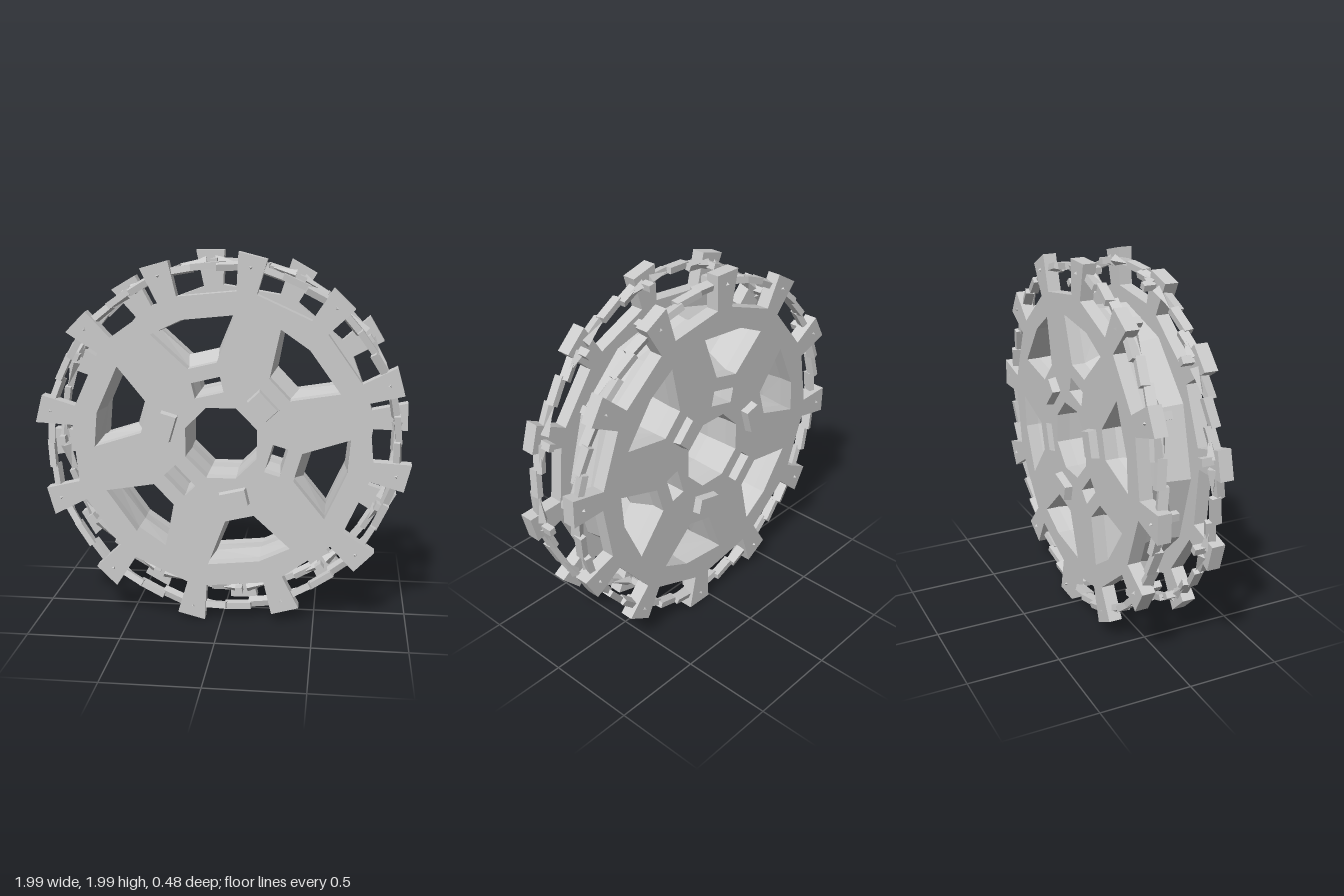
import * as THREE from 'three';

const DEG = Math.PI / 180;
const TEETH = 12;
const FACE_Z = 0.198, INNER_Z = 0.125;
const WINDOW_ANGLE = 43.5, TOOTH_ANGLE = 20.5;

const material = new THREE.MeshStandardMaterial({
  color: 0xcccccc, flatShading: true, side: THREE.DoubleSide,
});

const polar = (r, deg) => new THREE.Vector2(r * Math.cos(deg * DEG), r * Math.sin(deg * DEG));

function addMesh(parent, geometry, name) {
  const mesh = new THREE.Mesh(geometry, material);
  mesh.name = name;
  parent.add(mesh);
  return mesh;
}

// Group turned so that local +y points outward at the given angle
function spoke(parent, deg, name) {
  const g = new THREE.Group();
  g.name = name;
  g.rotation.z = (deg - 90) * DEG;
  parent.add(g);
  return g;
}

// Opening outlines; t = 0 at the plates, t = 1 at the narrow waist
function windowOutline(deg, t) {
  const inner = 0.43 + 0.05 * t, outer = 0.68 - 0.015 * t;
  const wide = 19.5 - 2 * t, narrow = 10.5 - 0.5 * t;
  return [[inner, -narrow], [outer, -wide], [outer, 4], [outer, wide], [inner, narrow]]
    .map(([r, a]) => polar(r, deg + a));
}

function slotOutline(deg, t) {
  const w = 0.078 - 0.012 * t, h = 0.042 - 0.01 * t;
  const c = new THREE.Vector2();
  return [[-h, -w], [h, -w], [h, w], [-h, w]]
    .map(([x, y]) => new THREE.Vector2(0.305 + x, y).rotateAround(c, deg * DEG));
}

function hubOutline(t) {
  return Array.from({ length: 8 }, (_, i) => polar(0.205 - 0.01 * t, 22.5 + i * 45));
}

// Every opening as a function of t
const openings = [{ name: 'hubBore', outline: hubOutline }];
for (let i = 0; i < 6; i++) {
  const deg = WINDOW_ANGLE + i * 60;
  openings.push({ name: 'windowWalls', outline: (t) => windowOutline(deg, t) });
  if (i % 2) openings.push({ name: 'slotWalls', outline: (t) => slotOutline(deg, t) });
}

// Walls of one opening, running between the plates through the waist
function tunnelGeometry(outline) {
  const rings = [[-INNER_Z, 0], [0, 1], [INNER_Z, 0]]
    .map(([z, t]) => outline(t).map((p) => new THREE.Vector3(p.x, p.y, z)));
  const points = [];
  for (let k = 0; k < 2; k++) {
    const a = rings[k], b = rings[k + 1];
    a.forEach((_, i) => {
      const j = (i + 1) % a.length;
      points.push(a[i], b[i], b[j], a[i], b[j], a[j]);
    });
  }
  const g = new THREE.BufferGeometry().setFromPoints(points);
  g.computeVertexNormals();
  return g;
}

// Toothed plate with all openings cut through
function plateGeometry(offset) {
  const outline = [];
  const c = new THREE.Vector2();
  for (let i = 0; i < TEETH; i++) {
    const angle = (offset + i * 360 / TEETH) * DEG;
    [[0.8, -0.053], [0.985, -0.076], [0.998, 0.076], [0.8, 0.053]]
      .forEach(([x, y]) => outline.push(new THREE.Vector2(x, y).rotateAround(c, angle)));
  }
  const shape = new THREE.Shape(outline);
  openings.forEach((o) => shape.holes.push(new THREE.Path(o.outline(0))));
  return new THREE.ExtrudeGeometry(shape, { depth: FACE_Z - INNER_Z, bevelEnabled: false });
}

// Box whose +z end is narrower
function taperedBox(w, h, d, k) {
  const g = new THREE.BoxGeometry(w, h, d);
  const p = g.attributes.position;
  for (let i = 0; i < p.count; i++) {
    if (p.getZ(i) > 0) p.setXY(i, p.getX(i) * k, p.getY(i) * k);
  }
  g.computeVertexNormals();
  return g;
}

function buildSide(side) {
  const group = new THREE.Group();
  group.name = side > 0 ? 'frontSprocket' : 'backSprocket';
  const offset = side > 0 ? TOOTH_ANGLE : TOOTH_ANGLE + 15;

  const plate = addMesh(group, plateGeometry(offset), 'toothedPlate');
  plate.position.z = side > 0 ? INNER_Z : -FACE_Z;

  // Raised lugs around the bore
  for (let i = 0; i < 6; i += 2) {
    const s = spoke(group, WINDOW_ANGLE + i * 60, 'hubLug');
    const lug = addMesh(s, taperedBox(0.155, 0.095, 0.06, 0.88), 'lugBlock');
    lug.position.set(0, 0.305, side * 0.211);
    if (side < 0) lug.rotation.y = Math.PI;
  }

  for (let i = 0; i < TEETH; i++) {
    const deg = offset + i * 360 / TEETH;

    // Pins through each tooth, with a small spike on the face
    const tooth = spoke(group, deg, 'toothPins');
    const pin = addMesh(tooth, new THREE.BoxGeometry(0.04, 0.035, 0.07), 'innerPin');
    pin.position.set(0.02, 0.93, side * 0.095);
    const spike = addMesh(tooth, new THREE.ConeGeometry(0.022, 0.03, 3), 'faceSpike');
    spike.position.set(0, 0.93, side * 0.197);
    spike.rotation.x = side * Math.PI / 2;

    // Thin twisted links joining neighbouring tooth tips
    const rim = spoke(group, deg + 15, 'rimLinks');
    for (let k = -1; k <= 1; k++) {
      const link = addMesh(rim, new THREE.BoxGeometry(0.15, 0.034, 0.05), 'linkBar');
      link.position.set(k * 0.135, 0.925 - 0.012 * Math.abs(k), side * (0.15 + 0.008 * k));
      link.rotation.set(0.25 * k, 0.12 * side, -0.1 * k);
    }
    for (const k of [-1, 1]) {
      const wedge = addMesh(rim, new THREE.ConeGeometry(0.03, 0.14, 4), 'linkWedge');
      wedge.position.set(k * 0.15, 0.915, side * 0.125);
      wedge.rotation.z = k * (Math.PI / 2 - 0.15);
    }
  }
  return group;
}

export function createModel() {
  const model = new THREE.Group();
  model.name = 'driveSprocket';
  const wheel = new THREE.Group();
  wheel.name = 'wheel';
  wheel.position.y = 1;
  model.add(wheel);

  wheel.add(buildSide(1), buildSide(-1));

  // Waisted drum between the plates
  for (const side of [1, -1]) {
    const ends = side > 0 ? [0.725, 0.705] : [0.705, 0.725];
    const drum = addMesh(wheel,
      new THREE.CylinderGeometry(ends[0], ends[1], INNER_Z, 12, 1, true), 'drumHalf');
    drum.rotation.x = Math.PI / 2;
    drum.position.z = side * INNER_Z / 2;
  }

  openings.forEach((o) => addMesh(wheel, tunnelGeometry(o.outline), o.name));
  return model;
}
